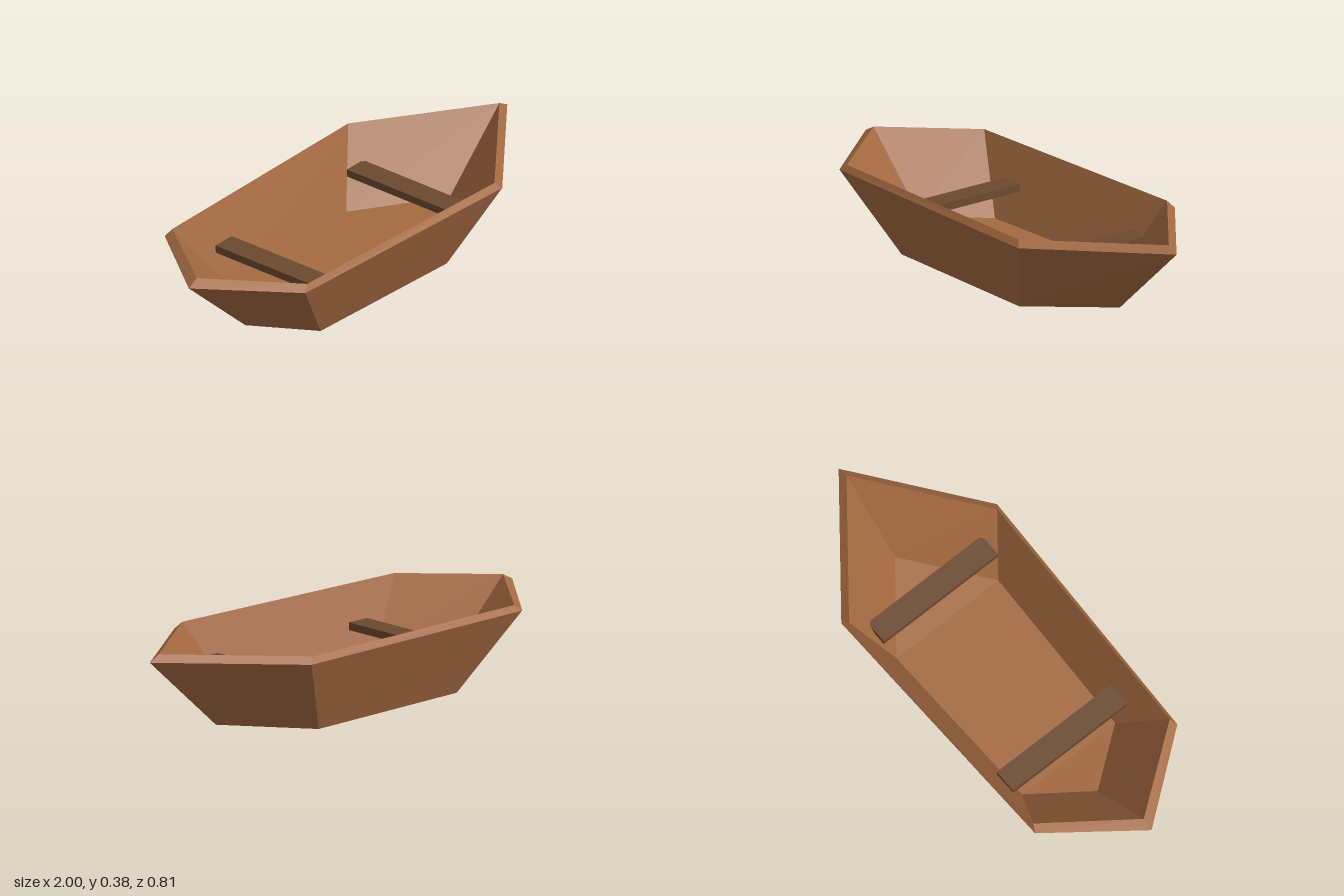
import * as THREE from 'three';

const wood = new THREE.MeshStandardMaterial({ color: 0xa46a40 });
wood.name = 'hull wood';
wood.flatShading = true;
const darkWood = new THREE.MeshStandardMaterial({ color: 0x6b4a2e });
darkWood.name = 'seat wood';

// Six-point ring, counter-clockwise from above: stern tip, two sides, bow tip
function ring([sx, sy], [ax, ay, az], [bx, by, bz], [tx, ty]) {
  return [[sx, sy, 0], [ax, ay, az], [bx, by, bz], [tx, ty, 0], [bx, by, -bz], [ax, ay, -az]];
}

const keel = ring([-0.645, 0.028], [-0.465, 0.012, 0.245], [0.31, 0, 0.26], [0.635, 0.026]);
const gunwale = ring([-1, 0.348], [-0.71, 0.335, 0.37], [0.485, 0.325, 0.405], [1, 0.348]);
const rimTop = ring([-0.95, 0.375], [-0.68, 0.36, 0.355], [0.46, 0.352, 0.385], [0.95, 0.375]);
const floor = ring([-0.655, 0.075], [-0.47, 0.06, 0.242], [0.305, 0.053, 0.265], [0.64, 0.075]);

function meshFrom(name, points) {
  const g = new THREE.BufferGeometry();
  g.setAttribute('position', new THREE.Float32BufferAttribute(points.flat(), 3));
  g.computeVertexNormals();
  const mesh = new THREE.Mesh(g, wood);
  mesh.name = name;
  return mesh;
}

// Band of planks joining two rings
function band(name, a, b) {
  const points = [];
  for (let i = 0; i < 6; i++) {
    const j = (i + 1) % 6;
    points.push(a[i], a[j], b[j], a[i], b[j], b[i]);
  }
  return meshFrom(name, points);
}

// Flat panel filling a ring, facing up or down
function panel(name, r, up) {
  const order = [0, 1, 5, 1, 2, 4, 1, 4, 5, 2, 3, 4];
  if (!up) order.reverse();
  return meshFrom(name, order.map((i) => r[i]));
}

export function createModel() {
  const boat = new THREE.Group();
  boat.name = 'rowingBoat';
  boat.add(
    panel('hullBottom', keel, false),
    band('outerHull', keel, gunwale),
    band('rim', gunwale, rimTop),
    band('innerHull', rimTop, floor),
    panel('floor', floor, true)
  );

  // Cross benches
  for (const [name, x] of [['rearSeat', -0.427], ['frontSeat', 0.398]]) {
    const seat = new THREE.Mesh(new THREE.BoxGeometry(0.103, 0.032, 0.594), darkWood);
    seat.name = name;
    seat.position.set(x, 0.203, 0);
    boat.add(seat);
  }
  return boat;
}
